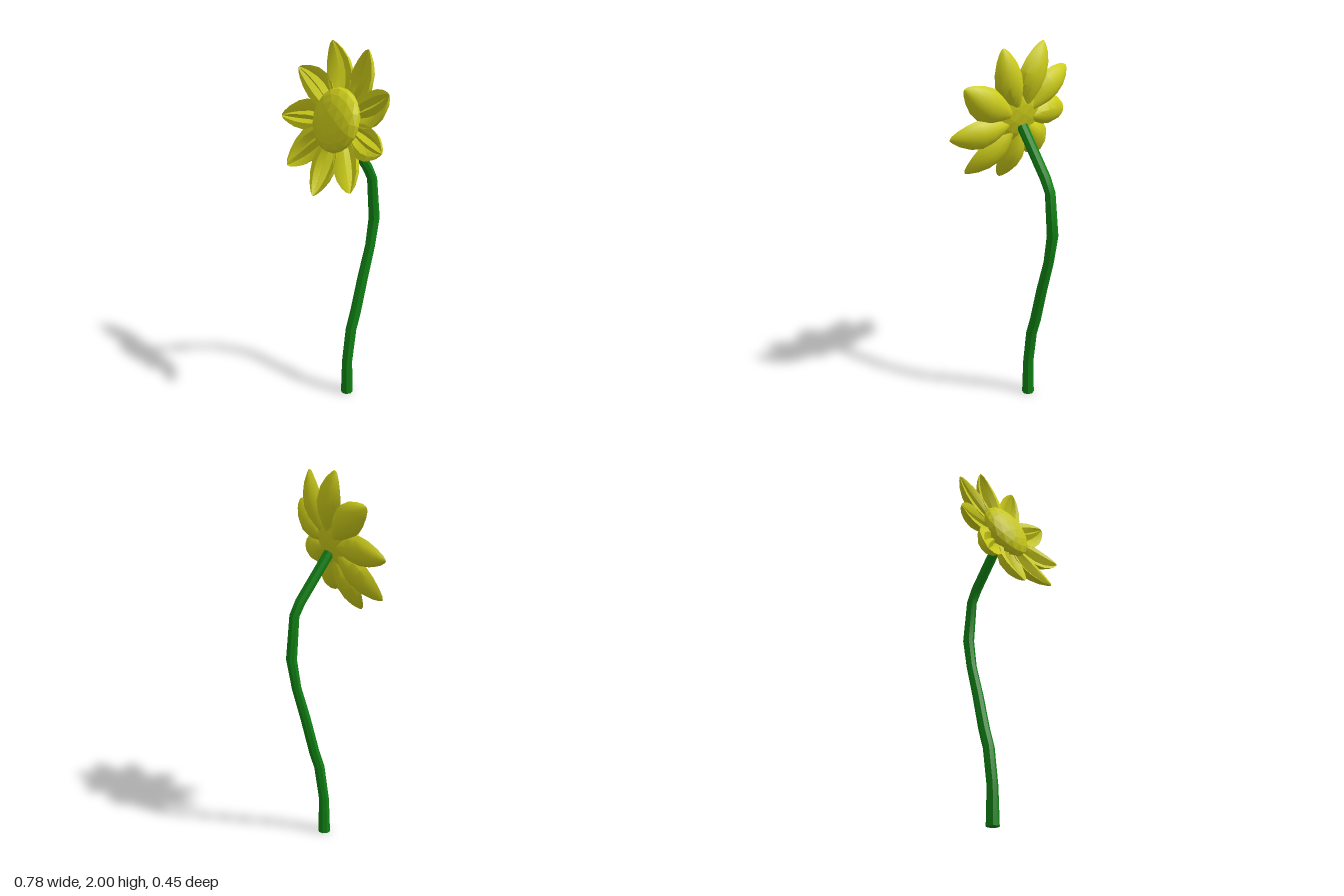
import * as THREE from 'three';
import { toCreasedNormals } from 'three/addons/utils/BufferGeometryUtils.js';

// Skin a list of rings (counter-clockwise about the travel direction) and cap both ends
function loft(rings, crease) {
  const n = rings[0].length, pos = [], idx = [];
  rings.forEach((ring) => ring.forEach((p) => pos.push(p.x, p.y, p.z)));
  for (let r = 0; r < rings.length - 1; r++) {
    for (let i = 0; i < n; i++) {
      const a = r * n + i, b = r * n + (i + 1) % n;
      idx.push(a, b, b + n, a, b + n, a + n);
    }
  }
  [0, rings.length - 1].forEach((r, end) => {
    const c = pos.length / 3;
    const mid = rings[r].reduce((s, p) => s.add(p), new THREE.Vector3()).divideScalar(n);
    pos.push(mid.x, mid.y, mid.z);
    for (let i = 0; i < n; i++) {
      const a = r * n + i, b = r * n + (i + 1) % n;
      if (end) idx.push(c, a, b); else idx.push(c, b, a);
    }
  });
  const g = new THREE.BufferGeometry();
  g.setAttribute('position', new THREE.Float32BufferAttribute(pos, 3));
  g.setIndex(idx);
  return toCreasedNormals(g, crease);
}

// Petal section [across, depth]: rounded back, folded front with a central ridge
const SECTION = [
  [-1, 0.35], [-0.85, -0.3], [-0.45, -0.85], [0, -1], [0.45, -0.85], [0.85, -0.3],
  [1, 0.35], [0.6, 0.25], [0.3, -0.25], [0.05, 0.3], [-0.25, -0.2], [-0.6, 0.3],
];

// Petal stations [radius, half width, depth scale, depth offset, sideways sweep]
const STATIONS = [
  [0.07, 0.025, 0.02, -0.06, 0],
  [0.12, 0.05, 0.038, -0.055, 0],
  [0.18, 0.077, 0.048, -0.052, 0],
  [0.24, 0.085, 0.05, -0.046, 0.002],
  [0.3, 0.073, 0.042, -0.034, 0.01],
  [0.35, 0.047, 0.028, -0.018, 0.02],
  [0.38, 0.022, 0.014, -0.005, 0.028],
  [0.393, 0.004, 0.003, 0, 0.032],
];

function petalGeometry(k) {
  const widen = 1 + 0.06 * Math.sin(k * 2.3), fold = 0.25 * Math.sin(k * 1.7);
  const rings = STATIONS.map(([r, w, d, z, sweep]) => SECTION.map(([s, h], i) => {
    const front = i > 6 ? fold * s : 0;
    return new THREE.Vector3(r, s * w * widen + sweep, z + (h + front) * d);
  }));
  return loft(rings, 0.6);
}

// Stem centreline [x, y, z, radius]
const STEM = [
  [-0.015, 0, 0, 0.034], [-0.015, 0.2, -0.002, 0.029], [-0.013, 0.4, -0.03, 0.03],
  [-0.012, 0.5, -0.062, 0.03], [-0.009, 0.7, -0.112, 0.029], [-0.007, 0.88, -0.163, 0.027],
  [-0.006, 1.04, -0.19, 0.03], [-0.005, 1.27, -0.17, 0.027], [-0.005, 1.34, -0.135, 0.028],
  [-0.005, 1.58, 0.035, 0.028],
];

function stemGeometry() {
  const pts = STEM.map(([x, y, z]) => new THREE.Vector3(x, y, z));
  const X = new THREE.Vector3(1, 0, 0);
  const rings = pts.map((p, i) => {
    const t = pts[Math.min(i + 1, pts.length - 1)].clone().sub(pts[Math.max(i - 1, 0)]);
    if (i === 0) t.set(0, 1, 0);
    const v = t.normalize().cross(X).normalize();
    return Array.from({ length: 8 }, (_, k) => {
      const a = (k / 8) * Math.PI * 2, r = STEM[i][3];
      return p.clone().addScaledVector(X, r * Math.cos(a)).addScaledVector(v, r * Math.sin(a));
    });
  });
  return loft(rings, 0.5);
}

export function createModel() {
  const model = new THREE.Group();
  model.name = 'flower';
  const yellow = new THREE.MeshStandardMaterial({ color: 0xcccc1a });
  const yellowFlat = new THREE.MeshStandardMaterial({ color: 0xcccc1a, flatShading: true });
  const green = new THREE.MeshStandardMaterial({ color: 0x108214 });
  const add = (parent, name, geometry, material) => {
    const mesh = new THREE.Mesh(geometry, material);
    mesh.name = name;
    parent.add(mesh);
    return mesh;
  };

  add(model, 'stem', stemGeometry(), green);

  // Flower head, tilted slightly upward
  const head = new THREE.Group();
  head.name = 'flowerHead';
  head.position.set(0, 1.64, 0.11);
  head.rotation.x = -0.297;
  model.add(head);

  // Faceted domed centre
  const disc = add(head, 'flowerCentre', new THREE.IcosahedronGeometry(1, 2), yellowFlat);
  disc.scale.set(0.16, 0.165, 0.066);
  disc.position.z = -0.028;

  // Ring of nine petals
  for (let k = 0; k < 9; k++) {
    const petal = add(head, 'petal', petalGeometry(k), yellow);
    petal.rotation.z = THREE.MathUtils.degToRad(-17 + k * 40);
  }
  return model;
}
